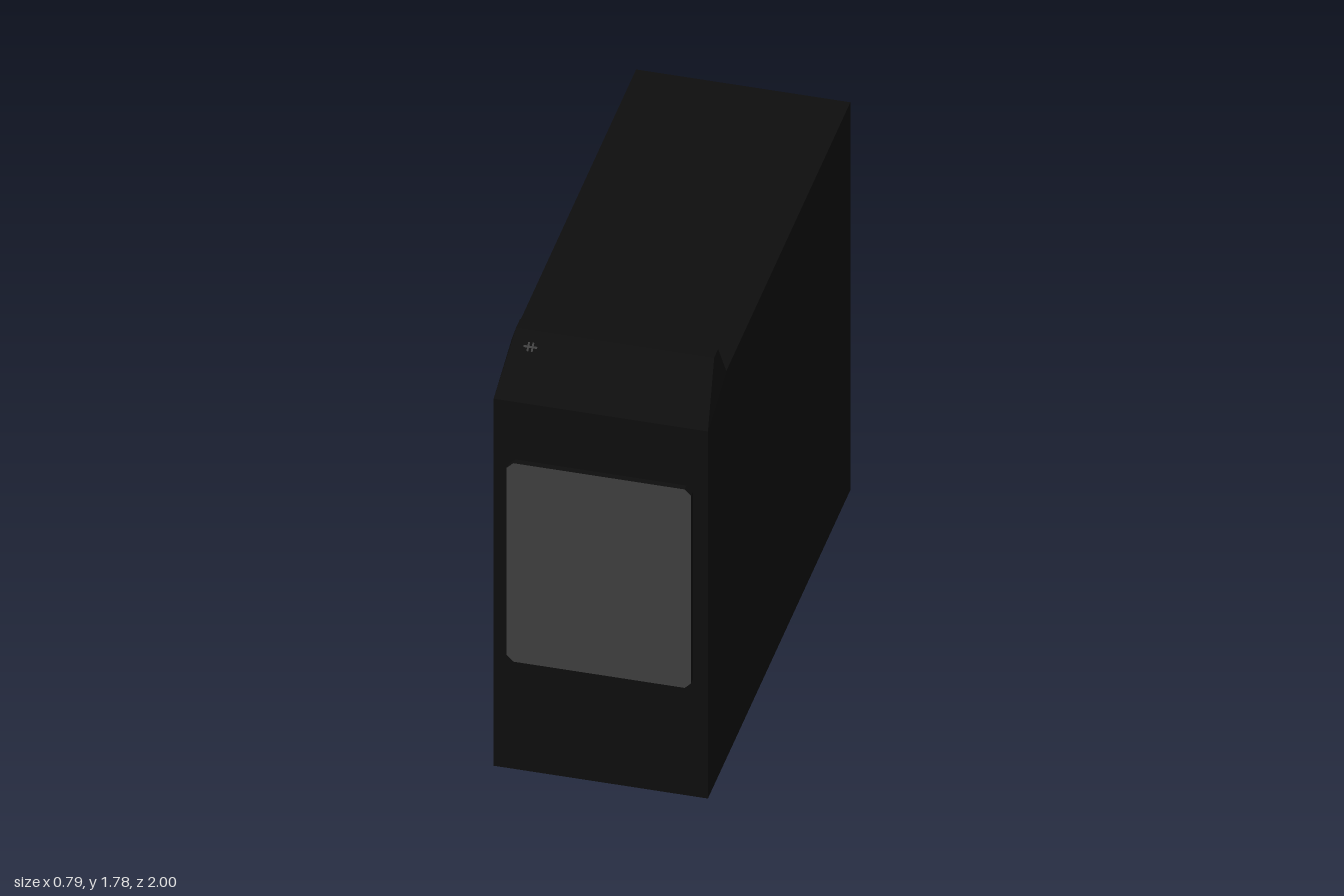
import * as THREE from 'three';
import { ConvexGeometry } from 'three/addons/geometries/ConvexGeometry.js';

const W = 0.395; // half width of the case

function material(name, color) {
  const m = new THREE.MeshStandardMaterial({ color });
  m.name = name;
  return m;
}

function polygon(points) {
  return new THREE.Shape(points.map(([x, y]) => new THREE.Vector2(x, y)));
}

function rectangle(halfWidth, bottom, top) {
  return polygon([[-halfWidth, bottom], [halfWidth, bottom], [halfWidth, top], [-halfWidth, top]]);
}

function extrude(shape, depth) {
  return new THREE.ExtrudeGeometry(shape, { depth, bevelEnabled: false });
}

export function createModel() {
  const black = material('black casing', 0x0d0d0d);
  const grey = material('dark grey panel', 0x3d3d3d);
  const model = new THREE.Group();
  model.name = 'computerCase';

  function add(name, geometry, mat, parent = model) {
    const mesh = new THREE.Mesh(geometry, mat);
    mesh.name = name;
    parent.add(mesh);
    return mesh;
  }

  // Main casing: side profile (z, y) extruded across the width
  const profile = polygon([[-0.98, 0], [0.975, 0], [0.975, 1.6], [0.72, 1.69], [-0.98, 1.69]]);
  add('casing', extrude(profile, 2 * W).rotateY(-Math.PI / 2).translate(W, 0, 0), black);

  // Sloped, tapered control ridge at the top front
  const corners = [];
  for (const s of [-1, 1]) {
    corners.push(
      new THREE.Vector3(s * W, 1.6, 0.975),
      new THREE.Vector3(s * W, 1.69, 0.72),
      new THREE.Vector3(s * 0.365, 1.78, 0.72),
      new THREE.Vector3(s * 0.365, 1.78, 0.775)
    );
  }
  add('controlRidge', new ConvexGeometry(corners), black);

  // Raised front panel with clipped corners; grey face, black rim
  const x = 0.34, lo = 0.485, hi = 1.35, c = 0.024;
  const front = polygon([
    [-x + c, lo], [x - c, lo], [x, lo + c], [x, hi - c],
    [x - c, hi], [-x + c, hi], [-x, hi - c], [-x, lo + c]
  ]);
  add('frontPanel', extrude(front, 0.025).translate(0, 0, 0.975), [grey, black]);

  // Rear frame around a shallow recess, with the grey panel set inside
  const frame = rectangle(W, 0, 1.69);
  frame.holes.push(rectangle(0.34, 0.41, 1.44));
  add('rearFrame', extrude(frame, 0.02).translate(0, 0, -1), black);
  add('rearPanel', new THREE.BoxGeometry(0.68, 1.03, 0.004).translate(0, 0.925, -0.981), grey);

  // Small indicator on the sloped face
  const indicator = new THREE.Group();
  indicator.name = 'indicator';
  indicator.position.set(-0.3, 1.738, 0.822);
  indicator.rotation.x = -Math.atan2(0.2, 0.18);
  model.add(indicator);
  add('indicatorBar', new THREE.BoxGeometry(0.05, 0.008, 0.003), grey, indicator);
  for (const s of [-1, 1]) {
    add('indicatorTick', new THREE.BoxGeometry(0.007, 0.034, 0.003).translate(s * 0.008, 0, 0), grey, indicator);
  }

  return model;
}
